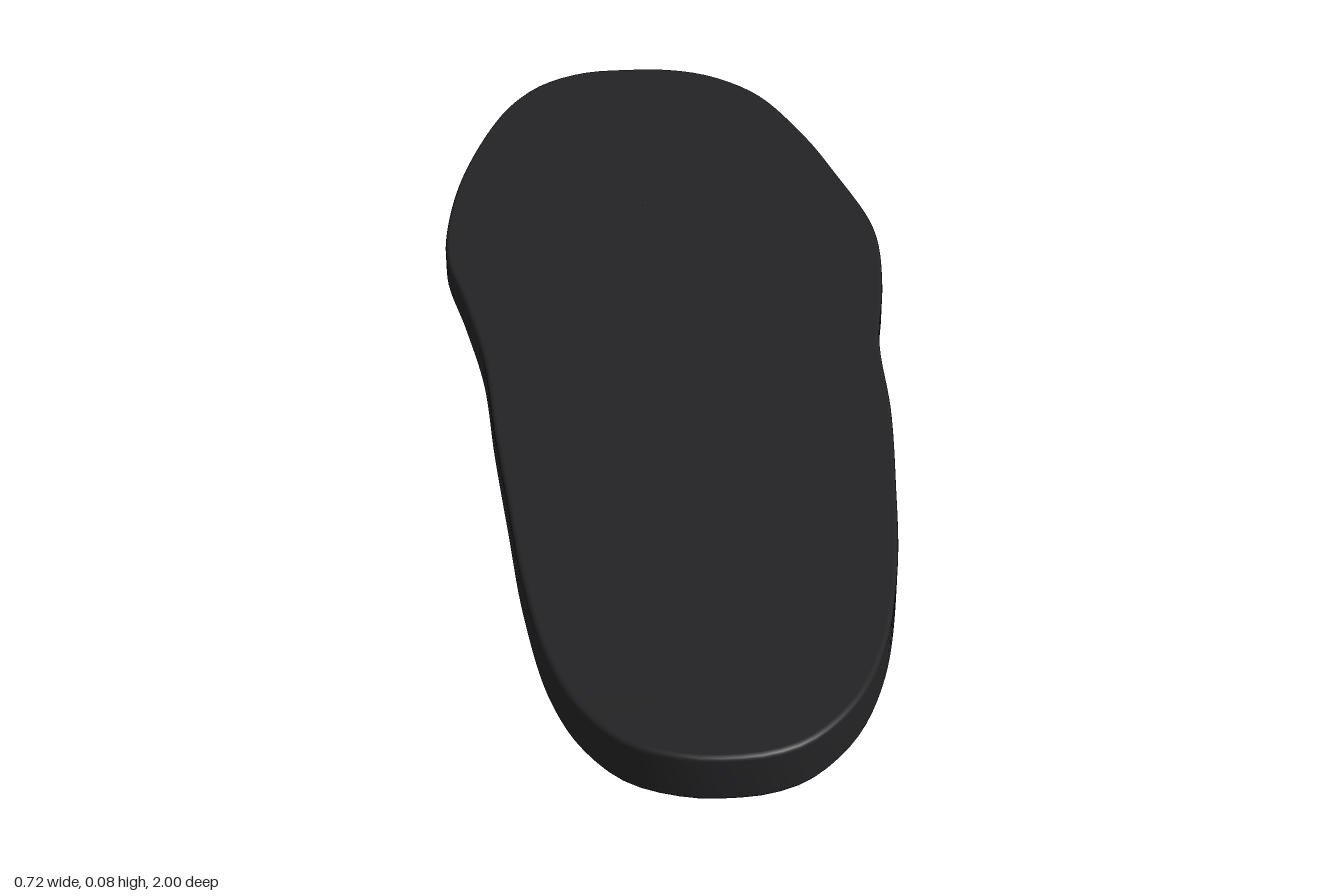
import * as THREE from 'three';

// Smooth height along the length, from a few [z, y] stations
function heightCurve(stations) {
  const spline = new THREE.CubicInterpolant(
    stations.map((s) => s[0]), stations.map((s) => s[1]), 1);
  return (z) => Math.max(0, spline.evaluate(THREE.MathUtils.clamp(z, -1, 1))[0]);
}

// Foot outline as [x, z]: toe tip, left side, heel, right side
const OUTLINE = [
  [-0.02, -1], [0.06, -0.994], [0.135, -0.965], [0.215, -0.89], [0.285, -0.74],
  [0.326, -0.58], [0.355, -0.42], [0.358, -0.33], [0.342, -0.18], [0.31, 0],
  [0.297, 0.2], [0.273, 0.4], [0.244, 0.6], [0.2, 0.78], [0.145, 0.9],
  [0.08, 0.972], [0.03, 0.995], [-0.02, 1], [-0.075, 0.994], [-0.145, 0.96],
  [-0.197, 0.89], [-0.235, 0.78], [-0.263, 0.6], [-0.279, 0.4], [-0.294, 0.2],
  [-0.306, 0], [-0.333, -0.18], [-0.36, -0.33], [-0.36, -0.43], [-0.335, -0.62],
  [-0.285, -0.79], [-0.235, -0.89], [-0.175, -0.958], [-0.1, -0.994],
];
const topHeight = heightCurve([
  [-1, 0.076], [-0.9, 0.069], [-0.75, 0.055], [-0.6, 0.05], [-0.4, 0.053],
  [0, 0.06], [0.4, 0.065], [0.8, 0.07], [0.92, 0.076], [1, 0.08]]);
const bottomHeight = heightCurve([
  [-1, 0.029], [-0.9, 0.024], [-0.75, 0.011], [-0.62, 0.001], [-0.5, 0],
  [0.6, 0], [0.76, 0.001], [0.9, 0.008], [1, 0.013]]);

const SEGMENTS = 180;
const RADIUS = 0.007;
const SPINE_X = -0.02;

function soleGeometry() {
  const curve = new THREE.CatmullRomCurve3(
    OUTLINE.map(([x, z]) => new THREE.Vector3(x, 0, z)), true);

  // Half profile: spread from the spine, inset from the edge, drop from the top
  const upper = [0, 0.35, 0.7, 0.93].map((spread) => ({ spread, inset: RADIUS, drop: 0 }));
  for (let k = 0; k <= 4; k++) {
    const a = (k / 4) * Math.PI / 2;
    upper.push({ spread: 1, inset: RADIUS * (1 - Math.sin(a)), drop: RADIUS * (1 - Math.cos(a)) });
  }
  // The underside mirrors the upper half
  const rings = [
    ...upper.map((r) => ({ ...r, base: topHeight, sign: -1 })),
    ...upper.slice().reverse().map((r) => ({ ...r, base: bottomHeight, sign: 1 })),
  ];

  const positions = [];
  const index = [];
  for (const ring of rings) {
    for (let i = 0; i < SEGMENTS; i++) {
      const p = curve.getPointAt(i / SEGMENTS);
      const t = curve.getTangentAt(i / SEGMENTS);
      const x = p.x - t.z * ring.inset;
      const z = p.z + t.x * ring.inset;
      positions.push(SPINE_X + (x - SPINE_X) * ring.spread, ring.base(z) + ring.sign * ring.drop, z);
    }
  }
  for (let j = 0; j < rings.length - 1; j++) {
    for (let i = 0; i < SEGMENTS; i++) {
      const n = (i + 1) % SEGMENTS;
      const a = j * SEGMENTS + i, b = j * SEGMENTS + n;
      const c = a + SEGMENTS, d = b + SEGMENTS;
      index.push(a, b, c, b, d, c);
    }
  }
  const geometry = new THREE.BufferGeometry();
  geometry.setAttribute('position', new THREE.Float32BufferAttribute(positions, 3));
  geometry.setIndex(index);
  geometry.computeVertexNormals();
  return geometry;
}

export function createModel() {
  const model = new THREE.Group();
  model.name = 'shoeSole';
  const sole = new THREE.Mesh(soleGeometry(), new THREE.MeshStandardMaterial({ color: 0x232325 }));
  sole.name = 'sole';
  model.add(sole);
  return model;
}
